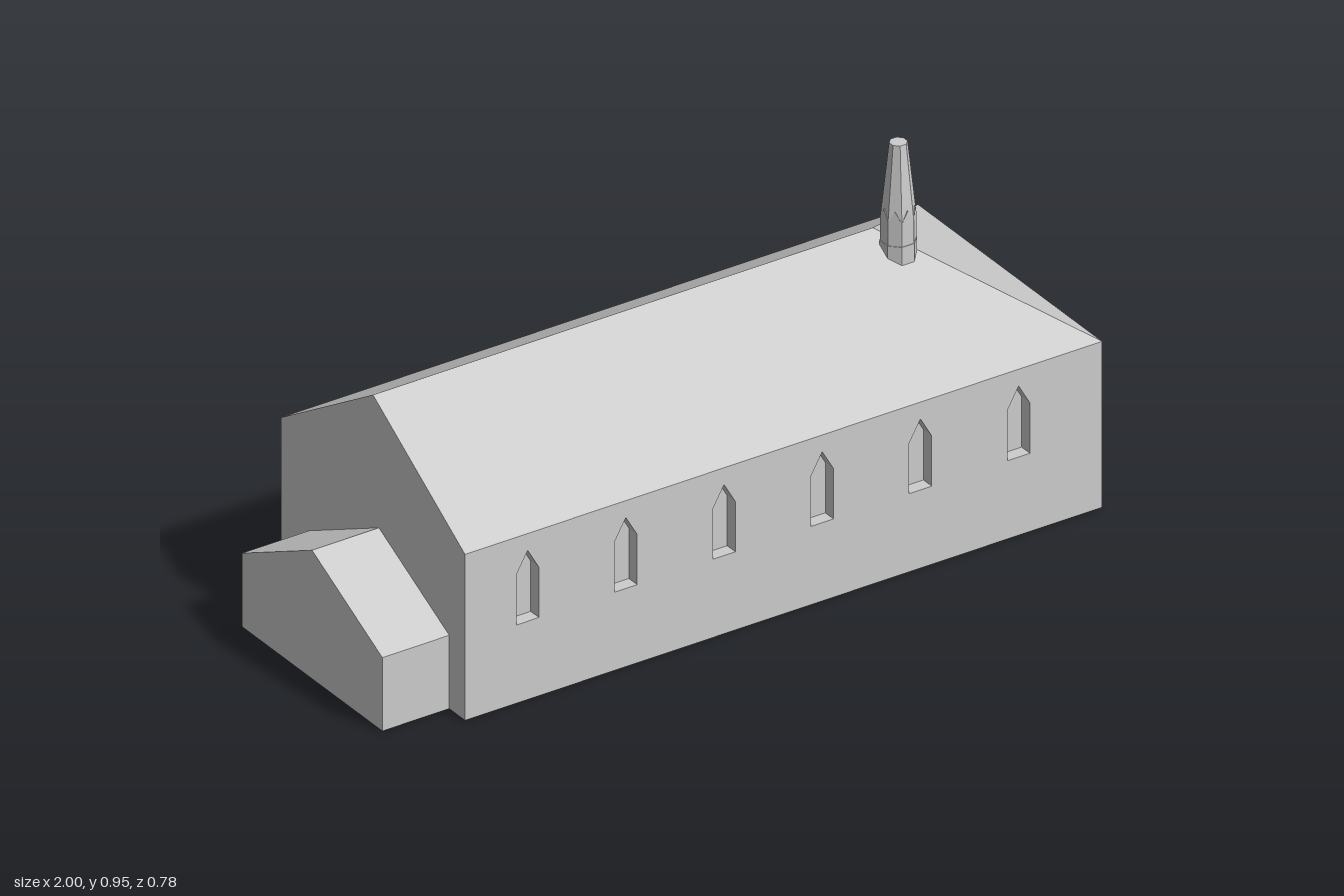
import * as THREE from 'three';

const stone = new THREE.MeshStandardMaterial({ color: 0xcccccc });
stone.name = 'pale grey stone';

const LEFT = -0.81, RIGHT = 1, HALF = 0.39, EAVE = 0.452, RIDGE = 0.7, RIDGE_END = 0.61;
const REVEAL = 0.035;

function addMesh(parent, name, geometry) {
  const mesh = new THREE.Mesh(geometry, stone);
  mesh.name = name;
  parent.add(mesh);
  return mesh;
}

// Outline of a pointed opening
const lancet = (c, w, bottom, shoulder, apex) => [
  [c - w / 2, bottom], [c + w / 2, bottom], [c + w / 2, shoulder], [c, apex], [c - w / 2, shoulder],
];
const toPoints = (list) => list.map(([x, y]) => new THREE.Vector2(x, y));

// Rectangular wall, pierced by the given openings
function wallGeometry(u0, u1, openings) {
  const shape = new THREE.Shape(toPoints([[u0, 0], [u1, 0], [u1, EAVE], [u0, EAVE]]));
  openings.forEach((o) => shape.holes.push(new THREE.Path(toPoints(o))));
  return new THREE.ExtrudeGeometry(shape, { depth: REVEAL, bevelEnabled: false });
}

function buildNave() {
  const nave = new THREE.Group();
  nave.name = 'nave';

  // Inner block closes the backs of the window niches
  const length = RIGHT - REVEAL - LEFT;
  const core = new THREE.BoxGeometry(length, EAVE, 2 * (HALF - REVEAL));
  core.translate(LEFT + length / 2, EAVE / 2, 0);
  addMesh(nave, 'innerWalls', core);

  // Long walls with six windows each
  for (const side of [1, -1]) {
    const windows = [];
    for (let i = 0; i < 6; i++) {
      windows.push(lancet(side * (-0.632 + i * 0.279), 0.064, 0.213, 0.35, 0.406));
    }
    const ends = [side * LEFT, side * RIGHT].sort((a, b) => a - b);
    const wall = addMesh(nave, side > 0 ? 'frontWall' : 'backWall', wallGeometry(ends[0], ends[1], windows));
    wall.rotation.y = side > 0 ? 0 : Math.PI;
    wall.position.z = side * (HALF - REVEAL);
  }

  // Entrance wall: two tall windows, and a door that runs up into a small window
  const doorAndWindow = [
    [-0.052, 0.024], [0.034, 0.024], [0.034, 0.166], [-0.001, 0.224], [0.019, 0.224], [0.019, 0.34],
    [-0.01, 0.385], [-0.039, 0.34], [-0.039, 0.224], [-0.016, 0.224], [-0.052, 0.166],
  ];
  const entrance = addMesh(nave, 'entranceWall', wallGeometry(-HALF + REVEAL, HALF - REVEAL, [
    lancet(-0.243, 0.094, 0.164, 0.355, 0.43),
    lancet(0.224, 0.094, 0.164, 0.355, 0.43),
    doorAndWindow,
  ]));
  entrance.rotation.y = Math.PI / 2;
  entrance.position.x = RIGHT - REVEAL;
  return nave;
}

// Roof with a gable on one end and a hip on the other
function roofGeometry() {
  const a = [LEFT, EAVE, HALF], b = [RIGHT, EAVE, HALF], c = [RIGHT, EAVE, -HALF], d = [LEFT, EAVE, -HALF];
  const e = [LEFT, RIDGE, 0], f = [RIDGE_END, RIDGE, 0];
  const corners = [a, b, f, a, f, e, b, c, f, c, d, e, c, e, f, d, a, e].flat();
  const geometry = new THREE.BufferGeometry();
  geometry.setAttribute('position', new THREE.Float32BufferAttribute(corners, 3));
  geometry.computeVertexNormals();
  return geometry;
}

// Low gabled block at the far end
function annexGeometry() {
  const shape = new THREE.Shape(toPoints([[-0.323, 0], [0.272, 0], [0.272, 0.2], [-0.025, 0.35], [-0.323, 0.2]]));
  const geometry = new THREE.ExtrudeGeometry(shape, { depth: LEFT + 1, bevelEnabled: false });
  geometry.rotateY(Math.PI / 2);
  geometry.translate(-1, 0, 0);
  return geometry;
}

// Octagonal turret with a small gable over every face
function buildTurret() {
  const turret = new THREE.Group();
  turret.name = 'turret';
  turret.position.set(0.645, 0, 0.056);
  const apothem = 0.0405, top = 0.0207, shoulder = 0.75;
  const corner = 1 / Math.cos(Math.PI / 8);
  const octagon = (rTop, rBottom, y0, y1) => {
    const g = new THREE.CylinderGeometry(rTop * corner, rBottom * corner, y1 - y0, 8).toNonIndexed();
    g.rotateY(Math.PI / 8);
    g.translate(0, (y0 + y1) / 2, 0);
    g.computeVertexNormals();
    return g;
  };
  addMesh(turret, 'turretBase', octagon(0.042, 0.042, 0.6, 0.687));
  addMesh(turret, 'turretShaft', octagon(apothem, apothem, 0.687, shoulder));
  addMesh(turret, 'spire', octagon(top, apothem, shoulder, 0.95));

  const half = apothem * Math.tan(Math.PI / 8);
  const gable = new THREE.ExtrudeGeometry(
    new THREE.Shape(toPoints([[-half, shoulder], [half, shoulder], [0, 0.78]])),
    { depth: 0.012, bevelEnabled: false },
  );
  gable.translate(0, 0, apothem - 0.012);
  for (let i = 0; i < 8; i++) {
    addMesh(turret, 'turretGable', gable).rotation.y = (i * Math.PI) / 4;
  }
  return turret;
}

export function createModel() {
  const chapel = new THREE.Group();
  chapel.name = 'chapel';
  chapel.add(buildNave());
  addMesh(chapel, 'roof', roofGeometry());
  addMesh(chapel, 'annex', annexGeometry());
  chapel.add(buildTurret());
  return chapel;
}
